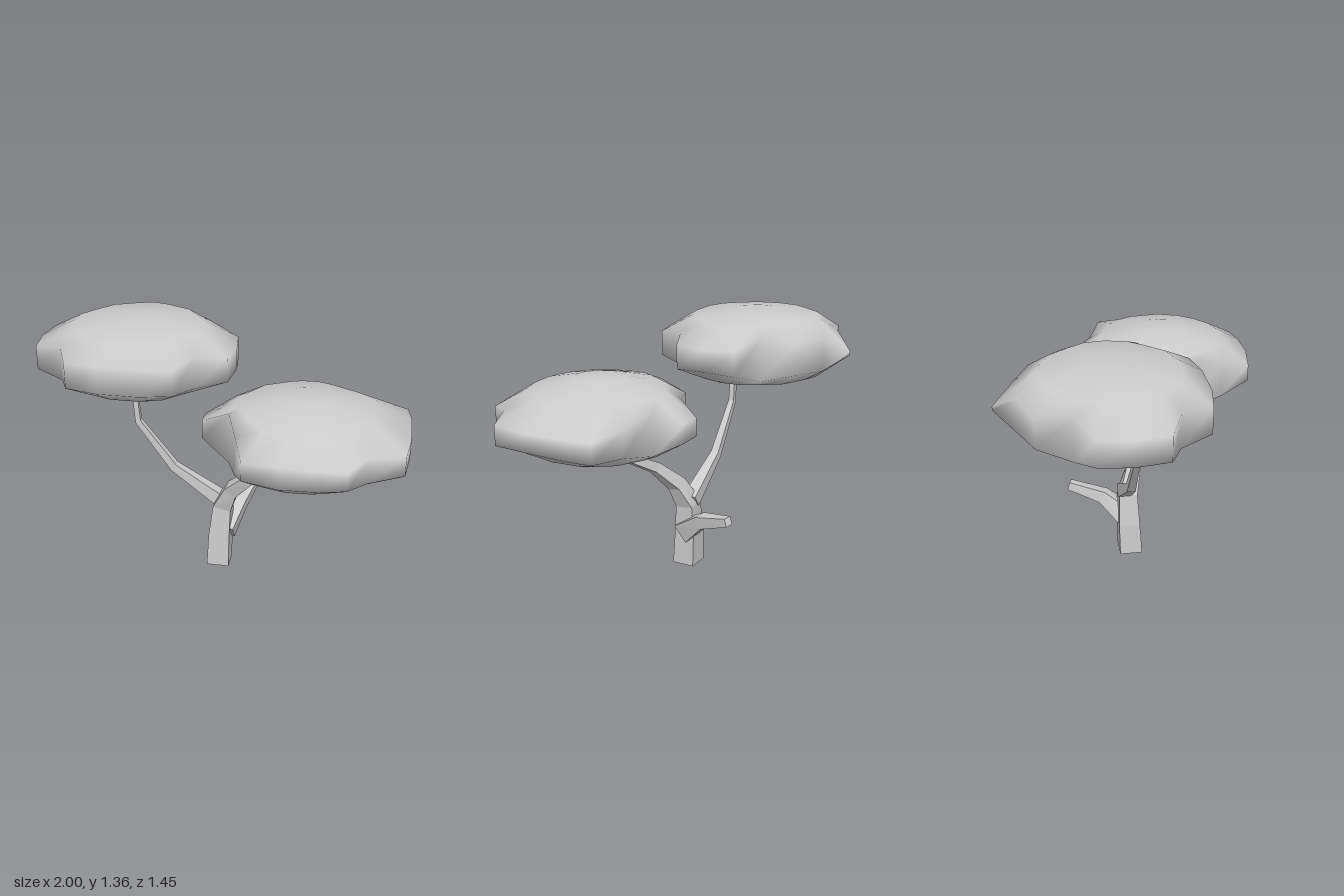
import * as THREE from 'three';

const V = (x, y, z) => new THREE.Vector3(x, y, z);

// Indexed surface from closed loops of equal length, with a fan at each end
function loft(loops) {
  const n = loops[0].length, pos = [], idx = [];
  loops.forEach(l => l.forEach(p => pos.push(p.x, p.y, p.z)));
  for (let r = 0; r < loops.length - 1; r++) {
    for (let i = 0; i < n; i++) {
      const j = (i + 1) % n, a = r * n + i, b = r * n + j;
      idx.push(a, a + n, b, b, a + n, b + n);
    }
  }
  [loops[0], loops[loops.length - 1]].forEach((l, end) => {
    const c = l.reduce((s, p) => s.add(p), V(0, 0, 0)).divideScalar(n);
    const k = pos.length / 3, base = end ? (loops.length - 1) * n : 0;
    pos.push(c.x, c.y, c.z);
    for (let i = 0; i < n; i++) {
      const a = base + i, b = base + (i + 1) % n;
      if (end) idx.push(k, b, a); else idx.push(k, a, b);
    }
  });
  const g = new THREE.BufferGeometry();
  g.setAttribute('position', new THREE.Float32BufferAttribute(pos, 3));
  g.setIndex(idx);
  g.computeVertexNormals();
  return g;
}

// Tapered square limb; each station is [x, y, z, half width]
function limb(name, stations, ref) {
  const pts = stations.map(s => V(s[0], s[1], s[2]));
  const loops = pts.map((p, i) => {
    const d = pts[Math.min(i + 1, pts.length - 1)].clone().sub(pts[Math.max(i - 1, 0)]);
    if (i === 0 && p.y === 0) d.set(0, 1, 0);
    d.normalize();
    const u = ref.clone().cross(d).normalize(), v = d.clone().cross(u), w = stations[i][3];
    return [[1, 1], [1, -1], [-1, -1], [-1, 1]].map(([a, b]) =>
      p.clone().addScaledVector(u, a * w).addScaledVector(v, b * w));
  });
  const m = new THREE.Mesh(loft(loops), new THREE.MeshStandardMaterial({ color: 0xcccccc, flatShading: true }));
  m.name = name;
  return m;
}

// Piecewise linear lookup of dome half height by radius
function heightAt(table, r) {
  for (let i = 1; i < table.length; i++) {
    const [r0, h0] = table[i - 1], [r1, h1] = table[i];
    if (r <= r1) return h0 + (h1 - h0) * (r - r0) / (r1 - r0);
  }
  return table[table.length - 1][1];
}

// Lobed cushion of leaves: scalloped rim, rounder rings towards top and bottom
function canopy(name, cx, cy, cz, outline, table) {
  const ring = (k, sign) => outline.map(([x, z]) => {
    const dx = x - cx, dz = z - cz, r = Math.hypot(dx, dz);
    const q = k === 1 ? r : k * (0.7 * 0.5 + 0.3 * r);
    return V(cx + dx / r * q, cy + sign * heightAt(table, q), cz + dz / r * q);
  });
  const loops = [[0.27, -1], [0.7, -1], [1, -1], [1, 1], [0.7, 1], [0.27, 1]].map(a => ring(...a));
  const m = new THREE.Mesh(loft(loops), new THREE.MeshStandardMaterial({ color: 0xcccccc }));
  m.name = name;
  return m;
}

export function createModel() {
  const tree = new THREE.Group();
  tree.name = 'tree';

  // Trunk bending into the left branch
  tree.add(limb('trunk', [
    [0, 0, -0.012, 0.062], [0.004, 0.18, -0.02, 0.058], [0.02, 0.36, -0.022, 0.05],
    [0.075, 0.48, 0.018, 0.038], [0.2, 0.605, 0.08, 0.027], [0.37, 0.7, 0.135, 0.021],
    [0.41, 0.79, 0.17, 0.018],
  ], V(0, 0, 1)));
  tree.add(limb('rightBranch', [
    [0.02, 0.375, -0.04, 0.038], [-0.26, 0.56, -0.045, 0.023],
    [-0.455, 0.82, -0.045, 0.016], [-0.475, 1.04, -0.045, 0.013],
  ], V(0, 0, 1)));
  tree.add(limb('backStub', [
    [0.03, 0.2, -0.02, 0.055], [0.095, 0.305, -0.15, 0.035], [0.15, 0.36, -0.335, 0.023],
  ], V(1, 0, 0)));

  // Canopies, rims listed as [x, z]
  tree.add(canopy('rightCanopy', -0.47, 1.18, -0.18, [
    [-0.47, -0.73], [-0.37, -0.62], [-0.18, -0.54], [-0.11, -0.38], [0.05, -0.3],
    [0.07, -0.14], [0.05, 0.03], [-0.11, 0.1], [-0.19, 0.26], [-0.36, 0.29],
    [-0.58, 0.29], [-0.75, 0.26], [-0.82, 0.1], [-0.98, 0.03], [-1, -0.14],
    [-0.98, -0.3], [-0.83, -0.38], [-0.76, -0.55], [-0.57, -0.62],
  ], [[0, 0.18], [0.14, 0.18], [0.36, 0.155], [0.47, 0.075], [0.54, 0.065], [0.55, 0.01], [0.551, 0.065]]));
  tree.add(canopy('leftCanopy', 0.47, 0.945, 0.23, [
    [0.4, -0.28], [0.53, -0.28], [0.6, -0.16], [0.8, -0.11], [0.98, -0.06],
    [1, 0.06], [1, 0.3], [0.98, 0.49], [0.81, 0.57], [0.72, 0.7],
    [0.59, 0.72], [0.41, 0.72], [0.23, 0.69], [0.17, 0.52], [0.11, 0.34],
    [-0.04, 0.26], [-0.04, 0.17], [0.11, 0.09], [0.17, -0.09], [0.34, -0.16],
  ], [[0, 0.2], [0.14, 0.2], [0.36, 0.145], [0.46, 0.075], [0.52, 0.045], [0.6, 0.055]]));
  return tree;
}
